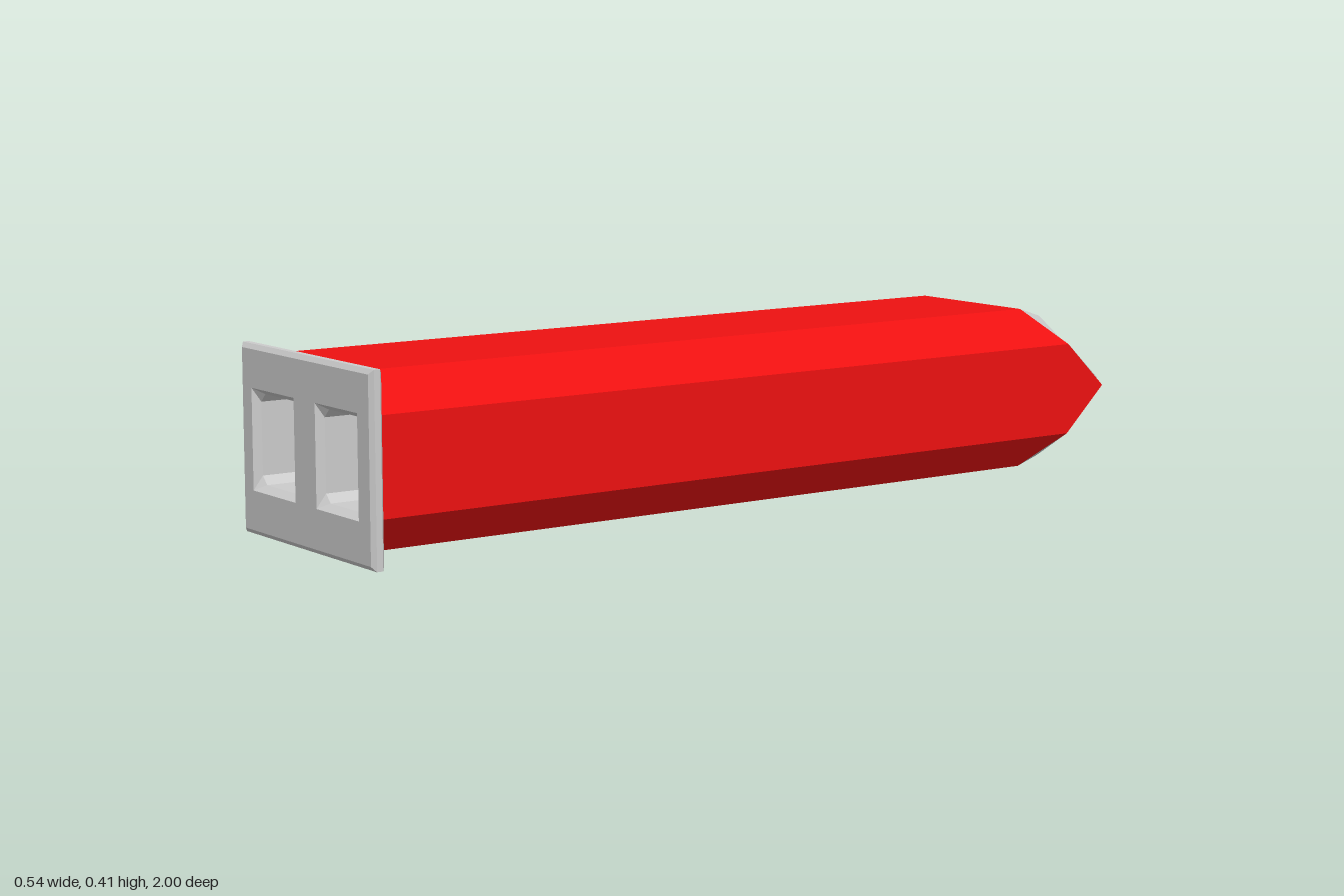
import * as THREE from 'three';

const CY = 0.205; // height of the horizontal symmetry plane
const red = new THREE.MeshStandardMaterial({ color: 0xee1111, side: THREE.DoubleSide });
const grey = new THREE.MeshStandardMaterial({ color: 0xcccccc, side: THREE.DoubleSide });
const black = new THREE.MeshStandardMaterial({ color: 0x111111, side: THREE.DoubleSide });

function add(parent, name, geometry, material) {
  const mesh = new THREE.Mesh(geometry, material);
  mesh.name = name;
  parent.add(mesh);
  return mesh;
}

// Flat-faced skin between closed rings of [x, y, z]; counter-clockwise rings
// running towards +z face outwards, towards -z inwards.
function loft(rings) {
  const pos = [];
  for (let r = 0; r < rings.length - 1; r++) {
    const p = rings[r], q = rings[r + 1], n = p.length;
    for (let i = 0; i < n; i++) {
      const j = (i + 1) % n;
      pos.push(...p[i], ...p[j], ...q[j], ...p[i], ...q[j], ...q[i]);
    }
  }
  const g = new THREE.BufferGeometry();
  g.setAttribute('position', new THREE.Float32BufferAttribute(pos, 3));
  g.computeVertexNormals();
  return g;
}

// Eight-point rectangle ring with corners cut by c (c = 0 gives a plain rectangle)
function rectRing(x0, x1, y0, y1, z, c = 0) {
  return [[x1, y0 + c, z], [x1, y1 - c, z], [x1 - c, y1, z], [x0 + c, y1, z],
    [x0, y1 - c, z], [x0, y0 + c, z], [x0 + c, y0, z], [x1 - c, y0, z]];
}

// Full ring from the three points of the upper +x quarter, mirrored both ways
function mirrorRing([side, shoulder, top]) {
  const mx = ([x, y, z]) => [-x, y, z];
  const my = ([x, y, z]) => [x, 2 * CY - y, z];
  const flip = (p) => mx(my(p));
  return [side, shoulder, top, mx(top), mx(shoulder), mx(side),
    flip(shoulder), flip(top), my(top), my(shoulder)];
}

const rectShape = (x0, x1, y0, y1) => new THREE.Shape([
  new THREE.Vector2(x0, y0), new THREE.Vector2(x1, y0),
  new THREE.Vector2(x1, y1), new THREE.Vector2(x0, y1)]);

// Sloped red panel with two blind bores running along z
function createNosePanel() {
  const panel = new THREE.Group();
  const slopeZ = (y) => -1 + (y - 0.22) * (0.14 / 0.15);
  const floorZ = -0.84, boreX = 0.117, boreY = 0.305, boreR = 0.055;

  const shape = new THREE.Shape([
    new THREE.Vector2(-0.22, 0.22), new THREE.Vector2(0.22, 0.22),
    new THREE.Vector2(0.17, 0.37), new THREE.Vector2(-0.17, 0.37)]);
  for (const s of [-1, 1]) {
    shape.holes.push(new THREE.Path().absarc(s * boreX, boreY, boreR, 0, Math.PI * 2, true));
  }
  const face = new THREE.ShapeGeometry(shape, 16);
  const fp = face.attributes.position;
  for (let i = 0; i < fp.count; i++) fp.setZ(i, slopeZ(fp.getY(i)));
  face.computeVertexNormals();
  add(panel, 'slopedPanel', face, red);

  for (const s of [-1, 1]) {
    const wall = new THREE.CylinderGeometry(boreR, boreR, 1, 32, 1, true);
    wall.rotateX(Math.PI / 2).translate(s * boreX, boreY, 0);
    const wp = wall.attributes.position;
    for (let i = 0; i < wp.count; i++) {
      wp.setZ(i, wp.getZ(i) > 0 ? floorZ : slopeZ(wp.getY(i)));
    }
    add(panel, 'boreWall', wall, red);
    const floor = new THREE.CircleGeometry(boreR, 32);
    floor.rotateY(Math.PI).translate(s * boreX, boreY, floorZ);
    add(panel, 'boreFloor', floor, red);
  }
  return panel;
}

export function createModel() {
  const model = new THREE.Group();
  model.name = 'twinTubeHousing';

  // Octagonal body whose rear end is cut to a wedge
  const rear = mirrorRing([[0.25, CY, -0.99], [0.25, 0.31, -0.88], [0.17, 0.39, -0.8]]);
  const front = rear.map(([x, y]) => [x, y, 0.975]);
  add(model, 'body', loft([rear, front]), red);

  // Grey trim around the wedge, and its blunt tip
  const inner = mirrorRing([[0.22, CY, -1], [0.22, 0.22, -1], [0.17, 0.37, -0.86]]);
  add(model, 'noseTrim', loft([inner, rear]), grey);
  const tip = new THREE.PlaneGeometry(0.44, 0.03);
  tip.rotateY(Math.PI).translate(0, CY, -1);
  add(model, 'noseTip', tip, grey);

  // Upper and lower panels
  const upper = createNosePanel();
  upper.name = 'upperNosePanel';
  const lower = createNosePanel();
  lower.name = 'lowerNosePanel';
  lower.scale.y = -1;
  lower.position.y = 2 * CY;
  model.add(upper, lower);

  // Bevelled front plate with two windows
  const plate = new THREE.Group();
  plate.name = 'frontPlate';
  model.add(plate);
  const outline = (inset, z) => rectRing(-0.27 + inset, 0.27 - inset, inset, 0.405 - inset, z);
  add(plate, 'plateRim',
    loft([outline(0.01, 0.97), outline(0, 0.978), outline(0, 0.992), outline(0.01, 1)]), grey);
  const back = new THREE.PlaneGeometry(0.52, 0.385);
  back.rotateY(Math.PI).translate(0, 0.2025, 0.97);
  // Back face keeps clear of the windows
  const windows = [[-0.222, -0.042], [0.045, 0.215]];
  const [wy0, wy1] = [0.095, 0.313];
  const plateShape = rectShape(-0.26, 0.26, 0.01, 0.395);
  for (const [x0, x1] of windows) plateShape.holes.push(rectShape(x0, x1, wy0, wy1));
  const faceGeometry = new THREE.ShapeGeometry(plateShape);
  add(plate, 'plateFace', faceGeometry.clone().translate(0, 0, 1), grey);
  add(plate, 'plateBack', faceGeometry.clone().rotateY(Math.PI).scale(1, 1, 1)
    .rotateY(Math.PI).translate(0, 0, 0.97), grey);

  // Funnel and octagonal liner behind each window, closed by a dark end
  for (const [x0, x1] of windows) {
    const liner = (z) => rectRing(x0 + 0.005, x1 - 0.005, wy0 + 0.0125, wy1 - 0.0125, z, 0.018);
    add(plate, 'windowLiner',
      loft([rectRing(x0, x1, wy0, wy1, 1), liner(0.98), liner(0.6)]), grey);
    const end = new THREE.Shape(liner(0).map(([x, y]) => new THREE.Vector2(x, y)));
    add(plate, 'windowEnd', new THREE.ShapeGeometry(end).translate(0, 0, 0.6), black);
  }
  return model;
}
